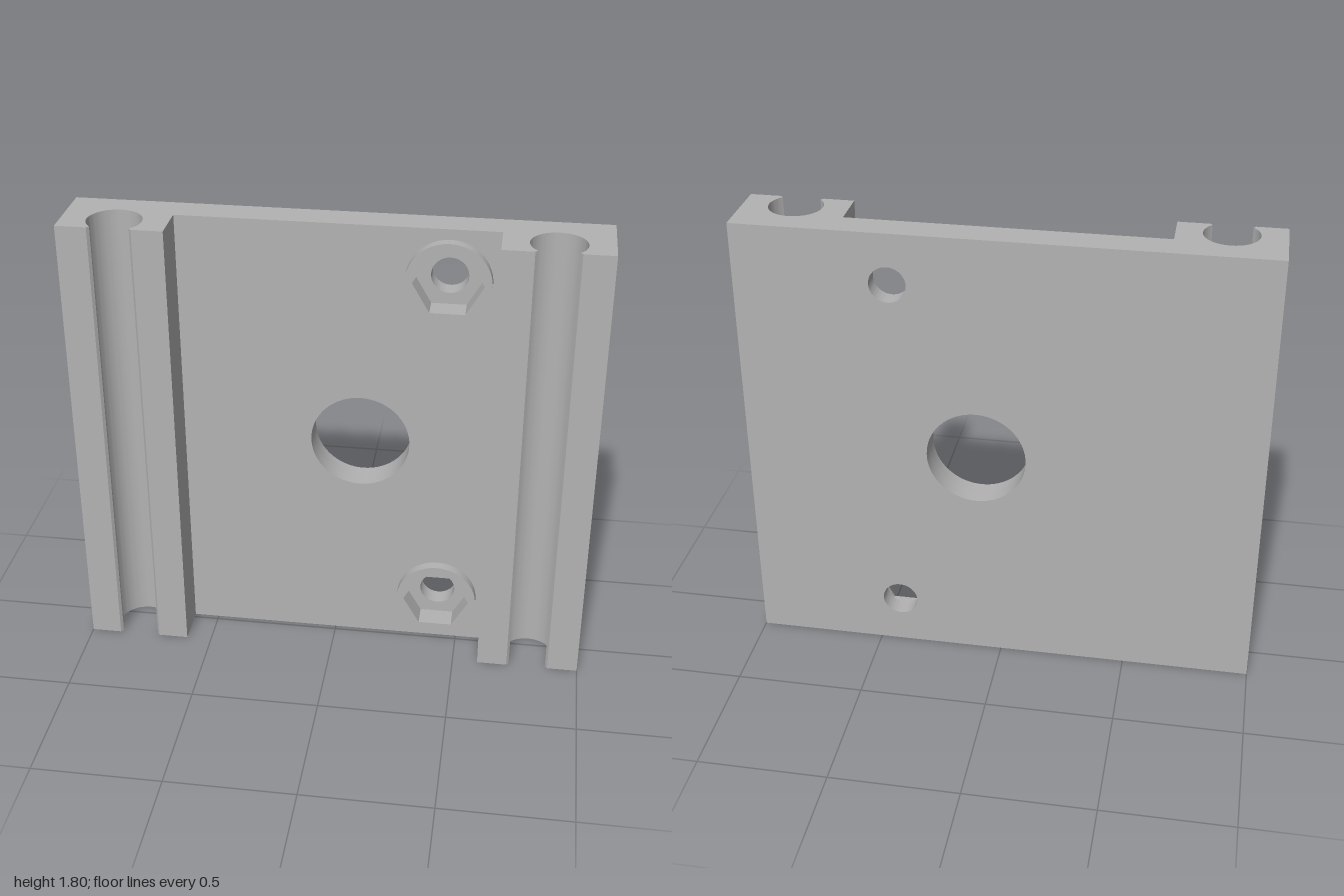
import * as THREE from 'three';
import { toCreasedNormals } from 'three/addons/utils/BufferGeometryUtils.js';

const HEIGHT = 1.8;
const BACK = -0.143, FRONT = 0.143;      // overall depth
const PLATE_FRONT = -0.02, BOSS_FRONT = 0.02, NUT_FLOOR = -0.07;
const INNER = 0.6;                       // inner edge of the rails
const BOLT_X = 0.415, BOLT_YS = [0.2, 1.6];

const grey = new THREE.MeshStandardMaterial({ color: 0xb3b3b3 });
grey.name = 'plain grey';

function circle(x, y, r, Kind = THREE.Path) {
  const path = new Kind();
  path.absarc(x, y, r, 0, Math.PI * 2, false);
  return path;
}

function hexagon(x, y, r) {
  const pts = [];
  for (let i = 0; i < 6; i++) {
    const a = (i * Math.PI) / 3;
    pts.push(new THREE.Vector2(x + r * Math.cos(a), y + r * Math.sin(a)));
  }
  return new THREE.Path(pts);
}

function extrude(shape, depth) {
  const geo = new THREE.ExtrudeGeometry(shape, { depth, bevelEnabled: false, curveSegments: 32 });
  return toCreasedNormals(geo, 0.5);
}

// Slab lying between two z levels
function slab(name, shape, z0, z1) {
  const mesh = new THREE.Mesh(extrude(shape, z1 - z0), grey);
  mesh.position.z = z0;
  mesh.name = name;
  return mesh;
}

// Plate outline with the large centre opening
function plateShape() {
  const shape = new THREE.Shape([
    new THREE.Vector2(-INNER, 0), new THREE.Vector2(INNER, 0),
    new THREE.Vector2(INNER, HEIGHT), new THREE.Vector2(-INNER, HEIGHT),
  ]);
  shape.holes.push(circle(0.095, 0.9, 0.192));
  return shape;
}

// Upright rail with a round, front-slotted channel
function rail(name, x) {
  const s = new THREE.Shape();
  s.moveTo(-0.2, -BACK);
  s.lineTo(-0.2, -FRONT);
  s.lineTo(-0.082, -FRONT);
  s.absarc(0, -0.06, 0.103, -0.75 * Math.PI, -0.25 * Math.PI, true);
  s.lineTo(0.082, -FRONT);
  s.lineTo(0.2, -FRONT);
  s.lineTo(0.2, -BACK);
  const geo = extrude(s, HEIGHT).rotateX(-Math.PI / 2);
  const mesh = new THREE.Mesh(geo, grey);
  mesh.position.x = x;
  mesh.name = name;
  return mesh;
}

export function createModel() {
  const model = new THREE.Group();
  model.name = 'mountingBracket';

  // Back layer has round bolt holes, front layer has hexagonal nut pockets
  const backShape = plateShape();
  const frontShape = plateShape();
  for (const y of BOLT_YS) {
    backShape.holes.push(circle(BOLT_X, y, 0.07));
    frontShape.holes.push(hexagon(BOLT_X, y, 0.132));
  }
  model.add(slab('plateBack', backShape, BACK, NUT_FLOOR));
  model.add(slab('plateFront', frontShape, NUT_FLOOR, PLATE_FRONT));

  // Raised round collars around the nut pockets
  BOLT_YS.forEach((y, i) => {
    const ring = circle(BOLT_X, y, 0.16, THREE.Shape);
    ring.holes.push(hexagon(BOLT_X, y, 0.132));
    model.add(slab(i ? 'upperNutCollar' : 'lowerNutCollar', ring, PLATE_FRONT, BOSS_FRONT));
  });

  model.add(rail('leftRail', 0.8), rail('rightRail', -0.8));
  return model;
}
